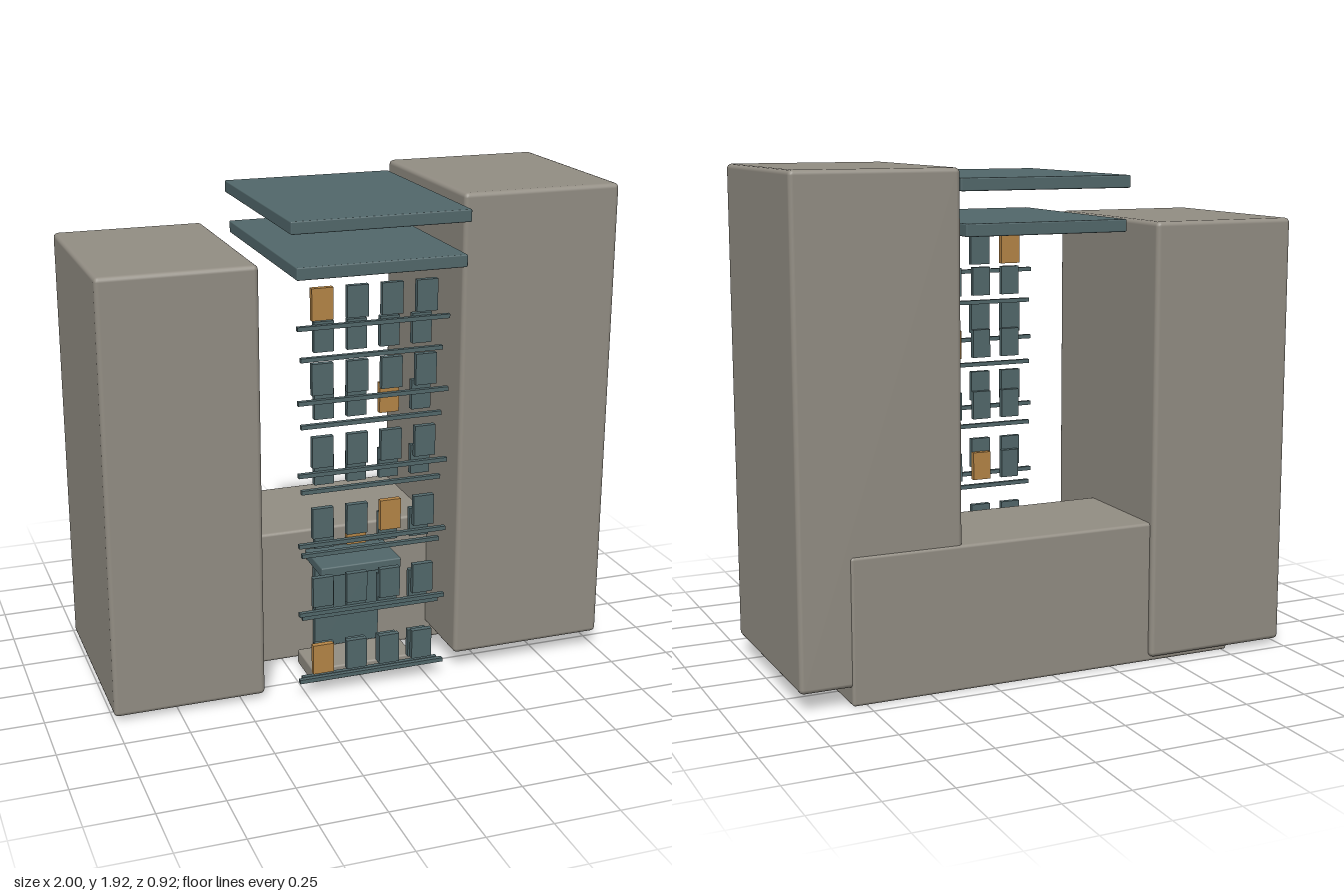
import * as THREE from 'three';
import { RoundedBoxGeometry } from 'three/addons/geometries/RoundedBoxGeometry.js';

const material = (name, color) => {
  const m = new THREE.MeshStandardMaterial({ color });
  m.name = name;
  return m;
};

export function createModel() {
  const model = new THREE.Group();
  model.name = 'building';
  const concrete = material('concrete', 0x938e84);
  const slate = material('slate', 0x52686b);
  const amber = material('amber', 0xb58546);

  // Box given by its extents on each axis, with optional rounded edges
  function block(name, mat, [x0, x1], [y0, y1], [z0, z1], radius = 0, parent = model) {
    const size = [x1 - x0, y1 - y0, z1 - z0];
    const geometry = radius
      ? new RoundedBoxGeometry(...size, 2, radius)
      : new THREE.BoxGeometry(...size);
    const mesh = new THREE.Mesh(geometry, mat);
    mesh.name = name;
    mesh.position.set((x0 + x1) / 2, (y0 + y1) / 2, (z0 + z1) / 2);
    parent.add(mesh);
  }

  // Main masses
  block('rightTower', concrete, [-1, -0.41], [0.02, 1.71], [-0.46, 0.34], 0.018);
  block('leftTower', concrete, [0.37, 1], [0.07, 1.92], [-0.43, 0.355], 0.018);
  block('podium', concrete, [-0.77, 0.805], [0, 0.555], [-0.437, 0.045], 0.012);

  // Entrance
  block('entranceStep', concrete, [-0.2, 0.225], [0, 0.06], [0.09, 0.28], 0.008);
  block('door', slate, [-0.12, 0.15], [0.01, 0.43], [0.04, 0.075]);
  block('canopy', slate, [-0.15, 0.18], [0.43, 0.47], [0.04, 0.25], 0.006);

  // Roof slabs
  block('lowerRoofSlab', slate, [-0.31, 0.34], [1.673, 1.72], [-0.405, 0.463], 0.005);
  block('upperRoofSlab', slate, [-0.327, 0.357], [1.835, 1.882], [-0.4, 0.452], 0.005);

  // Six floors of windows, each floor with a ledge below it
  function facade(name, { columns, width, height, pitch, ledge, z, lit }) {
    const group = new THREE.Group();
    group.name = name;
    for (let row = 0; row < 6; row++) {
      const y = 0.064 + row * pitch;
      block('ledge', slate, ledge, [y - 0.008, y + 0.008], [z, z + 0.018], 0, group);
      columns.forEach((x, col) => {
        const mat = lit.includes(`${row}:${col}`) ? amber : slate;
        block('window', mat, [x - width / 2, x + width / 2],
          [y + 0.028, y + 0.028 + height], [z, z + 0.023], 0, group);
      });
    }
    model.add(group);
  }
  facade('frontWindows', {
    columns: [-0.187, -0.051, 0.083, 0.219], width: 0.082, height: 0.12, pitch: 0.2815,
    ledge: [-0.28, 0.312], z: 0.357, lit: ['0:0', '2:2', '5:0'],
  });
  facade('rearWindows', {
    columns: [-0.175, -0.047, 0.081, 0.208], width: 0.076, height: 0.115, pitch: 0.2565,
    ledge: [-0.262, 0.295], z: 0.335, lit: ['2:1', '4:2'],
  });

  return model;
}
